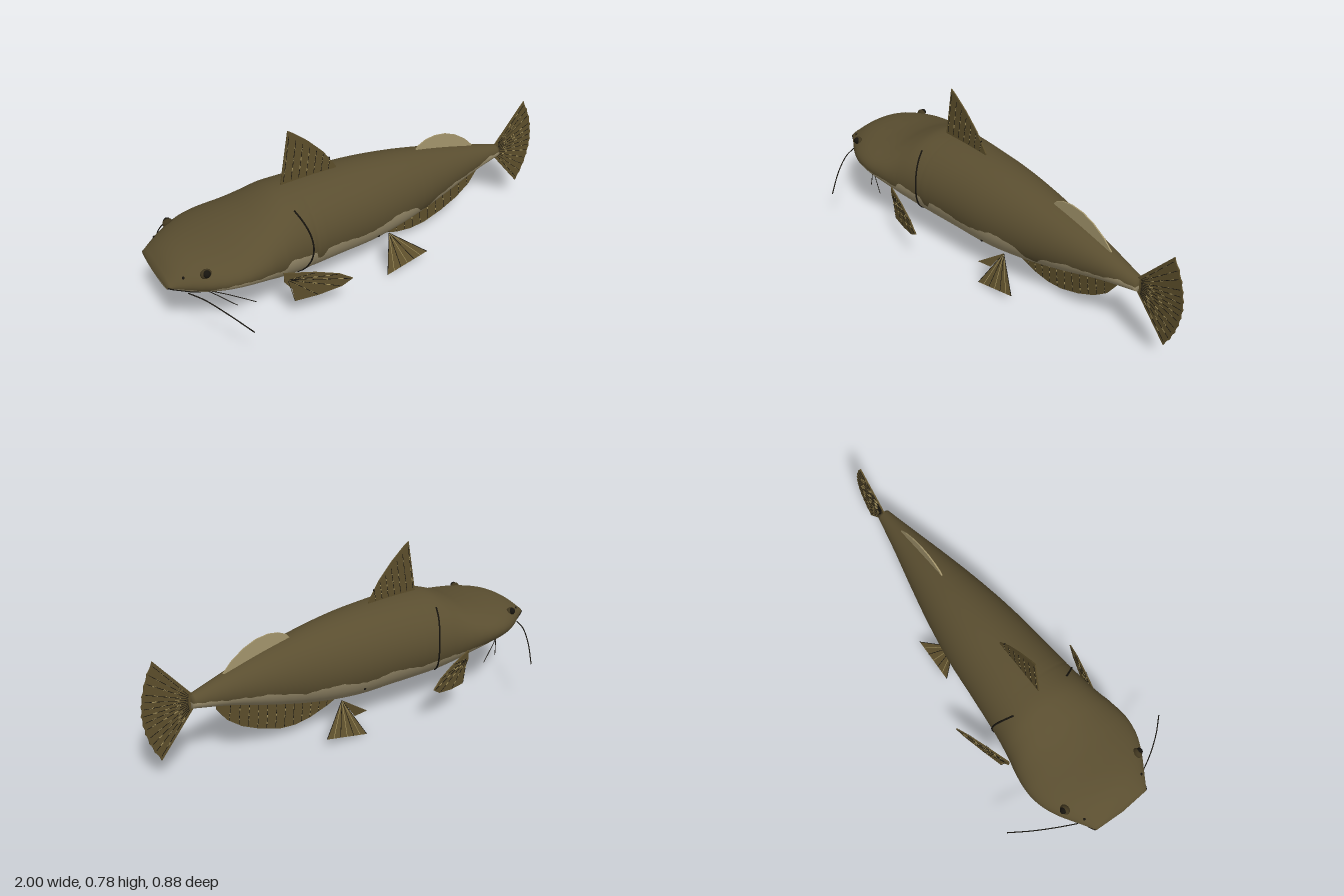
import * as THREE from 'three';

const mat = (name, color, side = THREE.FrontSide) => {
  const m = new THREE.MeshStandardMaterial({ color, side });
  m.name = name;
  return m;
};

// Body stations: x, top, bottom, half width
const STATIONS = [
  [-0.99, 0.355, 0.305, 0.14], [-0.95, 0.39, 0.28, 0.165], [-0.9, 0.415, 0.26, 0.198],
  [-0.84, 0.43, 0.249, 0.235], [-0.77, 0.44, 0.242, 0.265], [-0.69, 0.452, 0.228, 0.277],
  [-0.6, 0.475, 0.195, 0.267], [-0.52, 0.508, 0.157, 0.248], [-0.45, 0.533, 0.137, 0.235],
  [-0.38, 0.54, 0.128, 0.225], [-0.2, 0.54, 0.125, 0.207], [0, 0.53, 0.125, 0.188],
  [0.2, 0.505, 0.152, 0.156], [0.4, 0.465, 0.2, 0.114], [0.6, 0.413, 0.26, 0.068], [0.78, 0.36, 0.3, 0.03]];
// Height of the border between back and belly colours on each side
const BORDER_LEFT = [[-0.99, 0.33], [-0.85, 0.315], [-0.75, 0.335], [-0.6, 0.315], [-0.51, 0.29], [-0.49, 0.325],
  [-0.41, 0.31], [-0.35, 0.3], [-0.34, 0.255], [-0.31, 0.255], [-0.3, 0.3], [-0.15, 0.285], [-0.13, 0.272],
  [0, 0.28], [0.08, 0.305], [0.2, 0.29], [0.25, 0.235], [0.3, 0.228], [0.34, 0.27], [0.45, 0.3], [0.6, 0.31], [0.7, 0.338], [0.78, 0.335]];
const BORDER_RIGHT = [[-0.99, 0.33], [-0.85, 0.31], [-0.7, 0.305], [-0.5, 0.27], [-0.3, 0.25], [-0.15, 0.272],
  [0, 0.25], [0.15, 0.275], [0.3, 0.265], [0.45, 0.3], [0.6, 0.31], [0.78, 0.335]];

// Smooth (cubic) or straight lookup of column k in a table sorted by x
function lookup(t, x, k, smooth) {
  let i = 0;
  while (i < t.length - 2 && x > t[i + 1][0]) i++;
  const [a, b] = [t[i], t[i + 1]], h = b[0] - a[0], u = (x - a[0]) / h;
  if (!smooth) return a[k] + (b[k] - a[k]) * u;
  const slope = j => {
    const p = t[Math.max(j - 1, 0)], q = t[Math.min(j + 1, t.length - 1)];
    return (q[k] - p[k]) / (q[0] - p[0]) * h;
  };
  const u2 = u * u, u3 = u2 * u;
  return (2 * u3 - 3 * u2 + 1) * a[k] + (u3 - 2 * u2 + u) * slope(i) + (3 * u2 - 2 * u3) * b[k] + (u3 - u2) * slope(i + 1);
}
function section(x) {
  const [top, bottom, w] = [1, 2, 3].map(k => lookup(STATIONS, x, k, true));
  return { c: (top + bottom) / 2, b: (top - bottom) / 2, w };
}
// Point on the skin at station x and height y, on side s
function skin(x, y, s, lift = 0) {
  const { c, b, w } = section(x);
  const q = THREE.MathUtils.clamp((y - c) / b, -1, 1);
  return new THREE.Vector3(x, c + q * (b + lift), s * (w + lift) * Math.sqrt(1 - q * q));
}

// Body rings whose vertices follow the colour border, so each colour is one group
function bodyGeometry() {
  const N = 150, UP = 32, LOW = 28, M = UP + LOW, pos = [], upper = [], lower = [];
  for (let r = 0; r <= N + 2; r++) {
    const x = -0.99 + 1.77 * THREE.MathUtils.clamp((r - 1) / N, 0, 1);
    const size = r === 0 || r === N + 2 ? 0.001 : 1;
    const { c, b, w } = section(x);
    const angle = (table) => {
      const y = lookup(table, x, 1, false) + 0.004 * Math.sin(x * 91) * Math.sin(x * 37);
      return Math.asin(THREE.MathUtils.clamp((y - c) / b, -0.95, 0.95));
    };
    const a0 = angle(BORDER_LEFT), a1 = Math.PI - angle(BORDER_RIGHT);
    for (let j = 0; j < M; j++) {
      const a = j < UP ? a0 + (a1 - a0) * j / UP : a1 + (a0 + 2 * Math.PI - a1) * (j - UP) / LOW;
      pos.push(x + (r === 0 ? -0.008 : 0), c + b * size * Math.sin(a), w * size * Math.cos(a));
    }
    if (r === N + 2) break;
    for (let j = 0; j < M; j++) {
      const p = r * M + j, q = r * M + (j + 1) % M;
      (j < UP ? upper : lower).push(p, p + M, q, q, p + M, q + M);
    }
  }
  const g = new THREE.BufferGeometry();
  g.setAttribute('position', new THREE.Float32BufferAttribute(pos, 3));
  // Rings run from +z over the top, so corners are reversed to face outwards
  const index = upper.concat(lower);
  for (let i = 0; i < index.length; i += 3) [index[i + 1], index[i + 2]] = [index[i + 2], index[i + 1]];
  g.setIndex(index);
  g.addGroup(0, upper.length, 0);
  g.addGroup(upper.length, lower.length, 1);
  g.computeVertexNormals();
  const n = g.attributes.normal, p = g.attributes.position, mid = Math.floor(N / 2) * M + UP / 2;
  if (n.getY(mid) * (p.getY(mid) - 0.33) < 0) {
    index.reverse();
    g.setIndex(index);
    g.clearGroups();
    g.addGroup(0, lower.length, 1);
    g.addGroup(lower.length, upper.length, 0);
    g.computeVertexNormals();
  }
  return g;
}

export function createModel() {
  const model = new THREE.Group();
  model.name = 'catfish';
  const back = mat('back brown', 0x5a4e30), belly = mat('belly tan', 0x9c8f6e);
  const finMat = mat('fin brown', 0x5c4e2b, THREE.DoubleSide), soft = mat('soft fin tan', 0xa3956c);
  const dark = mat('dark line', 0x17140e), pale = mat('ray tan', 0xa08f5c), iris = mat('iris', 0x40361f);

  const add = (name, geometry, material, parent = model) => {
    const m = new THREE.Mesh(geometry, material);
    m.name = name;
    parent.add(m);
    return m;
  };
  const tube = (name, points, radius, material = dark) =>
    add(name, new THREE.TubeGeometry(new THREE.CatmullRomCurve3(points), 24, radius, 6), material);

  add('body', bodyGeometry(), [back, belly]);

  // Flat fin plate in its own x-y plane, with rays from root to rim
  function fin(name, outline, rays, material = finMat) {
    const group = new THREE.Group();
    group.name = name;
    model.add(group);
    const g = new THREE.ExtrudeGeometry(new THREE.Shape(outline.map(p => new THREE.Vector2(...p))), { depth: 0.006, bevelEnabled: false });
    add(name + 'Web', g.translate(0, 0, -0.003), material, group);
    rays.forEach(([x0, y0, x1, y1], i) => {
      const strip = (a, b, width, m, label) => {
        const dx = (x1 - x0) * (b - a), dy = (y1 - y0) * (b - a), t = (a + b) / 2;
        const s = add(label, new THREE.BoxGeometry(Math.hypot(dx, dy), width, 0.009), m, group);
        s.position.set(x0 + (x1 - x0) * t, y0 + (y1 - y0) * t, 0);
        s.rotation.z = Math.atan2(dy, dx);
      };
      strip(0.05, 0.96, 0.002, dark, 'ray');
      for (let k = 0; k < 3; k++) {
        const a = 0.2 + k * 0.24 + (i % 3) * 0.04;
        strip(a, a + 0.09, 0.0035, pale, 'rayFleck');
      }
    });
    return group;
  }
  const range = (n, f) => Array.from({ length: n }, (_, i) => f(i / (n - 1)));

  fin('dorsalFin', [[-0.405, 0.52], [-0.4, 0.545], [-0.355, 0.787], [-0.33, 0.77], [-0.26, 0.71], [-0.19, 0.635], [-0.13, 0.545], [-0.13, 0.52]],
    range(7, t => [-0.39 + 0.22 * t, 0.54, -0.35 + 0.19 * t, 0.77 - 0.17 * t]));

  // Smooth fatty fin behind the dorsal
  fin('adiposeFin', [[0.28, 0.47], [0.31, 0.505], [0.35, 0.524], [0.4, 0.531], [0.46, 0.523], [0.52, 0.498], [0.58, 0.457],
    [0.625, 0.41], [0.58, 0.4], [0.4, 0.45]], [], soft);

  const analRim = [[0.02, 0.125], [0.1, 0.09], [0.2, 0.058], [0.28, 0.048], [0.36, 0.056], [0.46, 0.09], [0.55, 0.135], [0.62, 0.19], [0.665, 0.255]];
  fin('analFin', [...analRim, [0.66, 0.29], [0.4, 0.215], [0.2, 0.165], [0.02, 0.14]],
    range(12, t => {
      const x = 0.11 + 0.5 * t;
      return [x - 0.012, section(x).c - section(x).b, x, lookup(analRim, x, 1, false)];
    }));

  // Scalloped tail fan
  const rim = range(41, t => {
    const a = 0.93 - 1.86 * t, r = 0.235 + 0.055 * Math.pow(Math.abs(a) / 0.93, 2) - 0.005 * Math.abs(Math.sin(t * Math.PI * 10));
    return [0.755 + r * Math.cos(a) * (1 + 0.03 * (1 - Math.abs(2 * t - 1))), 0.33 + r * Math.sin(a) * 0.98];
  });
  fin('tailFin', [[0.77, 0.295], [0.77, 0.365], ...rim],
    range(13, t => [0.78, 0.355 - 0.05 * t, ...rim[Math.round(1 + 38 * t)]]));

  for (const s of [1, -1]) {
    const side = s > 0 ? 'left' : 'right';
    const P = (x, y, z) => new THREE.Vector3(x, y, s * z);

    // Pectoral fin, swept outwards
    const tips = [[0.13, 0.265], [0.23, 0.235], [0.285, 0.2], [0.24, 0.168], [0.14, 0.142], [0.04, 0.13]];
    const pectoral = fin(side + 'PectoralFin', [[0, 0.24], [0.03, 0.2], ...tips.slice().reverse(), [0, 0.287]],
      tips.map(p => [0.015, 0.25, ...p]));
    pectoral.position.set(-0.53, 0, s * 0.25);
    pectoral.rotation.y = -s * 0.29;
    pectoral.scale.x = 1.03;

    // Pelvic fin: a broad blade with a small leading lobe
    const root = P(0.09, 0.155, 0.1), low = P(0.022, 0.003, 0.198), rear = P(0.24, 0.052, 0.198);
    const lobe = P(0.022, 0.125, 0.198), notch = P(0.055, 0.085, 0.15);
    const g = new THREE.BufferGeometry().setFromPoints([root, low, rear, root, lobe, notch]);
    g.computeVertexNormals();
    add(side + 'PelvicFin', g, finMat);
    for (let i = 0; i <= 6; i++) {
      const tip = low.clone().lerp(rear, i / 6);
      tube(side + 'PelvicRay', [root, tip], 0.0015, i % 2 ? pale : dark);
    }

    // Gill slit and mouth line
    tube(side + 'GillSlit', range(13, t => {
      const y = 0.495 - 0.315 * t;
      return skin(-0.372 - 0.042 * Math.pow(2 * t - 1, 2), y, s, 0.001);
    }), 0.004);
    tube(side + 'MouthLine', range(8, t => skin(-0.988 + 0.12 * t, 0.332 - 0.042 * t, s, 0.001)), 0.003);

    // Eye and nostril
    const eye = skin(-0.845, 0.385, s);
    const ball = add(side + 'Eye', new THREE.SphereGeometry(0.024, 20, 14), iris);
    ball.position.copy(eye);
    ball.scale.set(1, 0.9, 0.75);
    const pupil = add(side + 'Pupil', new THREE.SphereGeometry(0.016, 16, 12), dark);
    pupil.position.set(eye.x, eye.y + 0.006, eye.z + s * 0.009);
    const nostril = add(side + 'Nostril', new THREE.SphereGeometry(0.006, 10, 8), dark);
    nostril.position.copy(skin(-0.925, 0.37, s));
    const spot = add(side + 'SideSpot', new THREE.SphereGeometry(0.006, 10, 8), dark);
    spot.position.copy(skin(0, 0.208, s));

    // Whiskers
    tube(side + 'LongWhisker', [P(-0.92, 0.305, 0.18), P(-0.88, 0.307, 0.26), P(-0.825, 0.275, 0.35), P(-0.76, 0.22, 0.437)], 0.0025);
    tube(side + 'OuterChinWhisker', [P(-0.87, 0.265, 0.12), P(-0.77, 0.235, 0.18), P(-0.655, 0.178, 0.232)], 0.0018);
    tube(side + 'InnerChinWhisker', [P(-0.87, 0.258, 0.08), P(-0.81, 0.235, 0.15), P(-0.735, 0.19, 0.225)], 0.0018);
  }
  return model;
}
